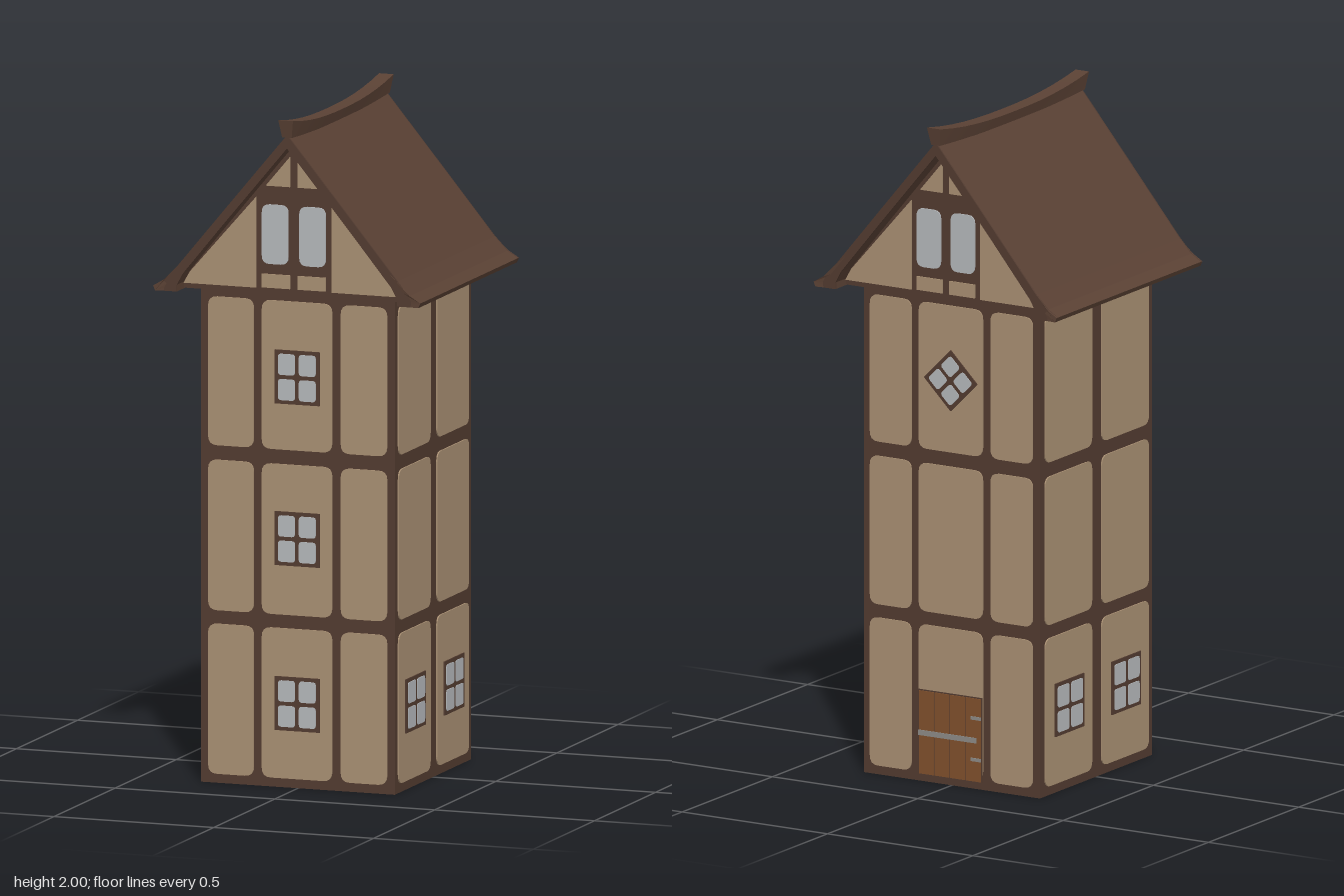
import * as THREE from 'three';

const mat = (name, color, extra = {}) => {
  const m = new THREE.MeshStandardMaterial({ color, ...extra });
  m.name = name;
  return m;
};

export function createModel() {
  const wood = mat('dark timber', 0x523b30);
  const plaster = mat('tan plaster', 0xa88f72);
  const roofBrown = mat('roof brown', 0x5a4134);
  const glass = mat('pale glass', 0xb4b7ba);
  const doorWood = mat('door planks', 0x80502c);
  const iron = mat('iron', 0x8c8a86);

  const model = new THREE.Group();
  model.name = 'timberTower';

  const add = (parent, name, geometry, material, x = 0, y = 0, z = 0) => {
    const mesh = new THREE.Mesh(geometry, material);
    mesh.name = name;
    mesh.position.set(x, y, z);
    parent.add(mesh);
    return mesh;
  };
  const group = (parent, name) => {
    const g = new THREE.Group();
    g.name = name;
    parent.add(g);
    return g;
  };
  const polygon = pts => new THREE.Shape(pts.map(p => new THREE.Vector2(...p)));
  const extrude = (shape, depth) =>
    new THREE.ExtrudeGeometry(shape, { depth, bevelEnabled: false, curveSegments: 4 });

  // Rectangle with rounded corners, given by its edges
  const roundRect = (x0, x1, y0, y1, r) => {
    const s = new THREE.Shape();
    s.moveTo(x0 + r, y0);
    s.lineTo(x1 - r, y0); s.quadraticCurveTo(x1, y0, x1, y0 + r);
    s.lineTo(x1, y1 - r); s.quadraticCurveTo(x1, y1, x1 - r, y1);
    s.lineTo(x0 + r, y1); s.quadraticCurveTo(x0, y1, x0, y1 - r);
    s.lineTo(x0, y0 + r); s.quadraticCurveTo(x0, y0, x0 + r, y0);
    return s;
  };
  const plate = (parent, name, shape, material, z = 0, depth = 0.004) =>
    add(parent, name, extrude(shape, depth), material, 0, 0, z);

  // Four-pane window in a dark frame
  const addWindow = (parent, x, y, w, h, angle = 0) => {
    const g = group(parent, 'window');
    g.position.set(x, y, 0.004);
    g.rotation.z = angle;
    plate(g, 'windowFrame', polygon([[-w / 2, -h / 2], [w / 2, -h / 2], [w / 2, h / 2], [-w / 2, h / 2]]), wood);
    const b = 0.011, m = 0.006;
    for (const sx of [-1, 1]) for (const sy of [-1, 1]) {
      const xs = [sx * m, sx * (w / 2 - b)].sort((p, q) => p - q);
      const ys = [sy * m, sy * (h / 2 - b)].sort((p, q) => p - q);
      plate(g, 'windowPane', roundRect(...xs, ...ys, 0.01), glass, 0.004, 0.002);
    }
  };

  // Timber core of the tower
  const HX = 0.303, HZ = 0.311, TOP = 1.475;
  add(model, 'timberFrame', new THREE.BoxGeometry(HX * 2, TOP, HZ * 2), wood, 0, TOP / 2, 0);

  // One wall: rows of plaster panels between the beams
  const rows = [[0.027, 0.473], [0.513, 0.96], [1.003, 1.445]];
  const addWall = (name, angle, distance, columns) => {
    const wall = group(model, name);
    wall.rotation.y = angle;
    wall.position.set(Math.sin(angle) * distance, 0, Math.cos(angle) * distance);
    for (const row of rows) for (const col of columns)
      plate(wall, 'plasterPanel', roundRect(...col, ...row, 0.028), plaster);
    return wall;
  };
  const thirds = [[-0.28, -0.137], [-0.112, 0.108], [0.135, 0.28]];
  const halves = [[-0.287, -0.027], [0.027, 0.287]];

  const front = addWall('frontWall', 0, HZ, thirds);
  for (const y of [0.25, 0.74, 1.22]) addWindow(front, 0, y, 0.14, 0.16);

  for (const s of [-1, 1]) {
    const side = addWall(s > 0 ? 'leftWall' : 'rightWall', s * Math.PI / 2, HX, halves);
    for (const x of [-0.157, 0.157]) addWindow(side, x, 0.25, 0.16, 0.16);
  }

  const back = addWall('backWall', Math.PI, HZ, thirds);
  addWindow(back, 0, 1.22, 0.13, 0.13, Math.PI / 4);

  // Plank door with an iron bar and hinges
  const door = group(back, 'door');
  door.position.set(-0.002, 0, 0.004);
  add(door, 'doorBacking', new THREE.BoxGeometry(0.22, 0.255, 0.002), wood, 0, 0.15, 0.001);
  for (let i = 0; i < 4; i++)
    add(door, 'doorPlank', new THREE.BoxGeometry(0.05, 0.25, 0.004), doorWood, -0.081 + i * 0.054, 0.149, 0.003);
  add(door, 'doorBar', new THREE.BoxGeometry(0.2, 0.016, 0.003), iron, -0.008, 0.148, 0.006);
  for (const y of [0.09, 0.215])
    add(door, 'doorHinge', new THREE.BoxGeometry(0.035, 0.01, 0.003), iron, 0.09, y, 0.006);

  // Gable block under the roof
  const GZ = 0.342;
  add(model, 'gableBlock', extrude(polygon([[-0.37, 1.47], [0.37, 1.47], [0, 1.925]]), GZ * 2), wood, 0, 0, -GZ);

  // Plaster fields and twin windows on both gables
  for (const angle of [0, Math.PI]) {
    const gable = group(model, angle ? 'backGable' : 'frontGable');
    gable.rotation.y = angle;
    gable.position.z = Math.cos(angle) * GZ;
    for (const s of [-1, 1]) {
      const sided = pts => polygon(pts.map(([x, y]) => [x * s, y]));
      plate(gable, 'gablePanel', sided([[0.118, 1.485], [0.345, 1.485], [0.325, 1.52], [0.118, 1.755]]), plaster);
      plate(gable, 'gableTopPanel', sided([[0.012, 1.79], [0.088, 1.79], [0.012, 1.88]]), plaster);
      plate(gable, 'gableSillPanel', sided([[0.012, 1.487], [0.1, 1.487], [0.1, 1.528], [0.012, 1.528]]), plaster);
      const xs = [s * 0.017, s * 0.1].sort((a, b) => a - b);
      plate(gable, 'gablePane', roundRect(...xs, 1.558, 1.735, 0.024), glass);
    }
  }

  // Roof shell with flared eaves, corners drawn slightly outward
  const outer = [[0.418, 1.482], [0.385, 1.502], [0.345, 1.542], [0.2, 1.716]];
  const inner = [[0.2, 1.676], [0.325, 1.524], [0.345, 1.488], [0.345, 1.468], [0.412, 1.468]];
  const mirror = pts => pts.map(([x, y]) => [-x, y]).reverse();
  const roofShape = polygon([
    ...outer, [0, 1.955], ...mirror(outer), ...mirror(inner), [0, 1.915], ...inner,
  ]);
  const roofGeo = extrude(roofShape, 0.794).translate(0, 0, -0.397);
  const rp = roofGeo.attributes.position;
  for (let i = 0; i < rp.count; i++)
    if (Math.abs(rp.getX(i)) > 0.37) rp.setZ(i, rp.getZ(i) * 1.017);
  roofGeo.computeVertexNormals();
  add(model, 'roof', roofGeo, roofBrown);

  // Dark timber edging on the gable ends of the roof
  for (const s of [-1, 1]) {
    const edge = extrude(roofShape, 0.006);
    add(model, 'bargeboard', edge, wood, 0, 0, s > 0 ? 0.395 : -0.401);
  }

  // Ridge beam that sweeps up toward both ends
  const ridgeGeo = new THREE.BoxGeometry(0.046, 1, 0.824, 1, 1, 12);
  const p = ridgeGeo.attributes.position;
  for (let i = 0; i < p.count; i++) {
    const t = Math.abs(p.getZ(i)) / 0.412;
    const top = p.getY(i) > 0;
    p.setY(i, top ? 1.968 + 0.032 * t ** 2.4 : 1.935 + 0.012 * t * t);
    if (!top) {
      p.setX(i, p.getX(i) * 0.65);
      p.setZ(i, p.getZ(i) * 0.975);
    }
  }
  ridgeGeo.computeVertexNormals();
  add(model, 'ridgeBeam', ridgeGeo, roofBrown);

  return model;
}
